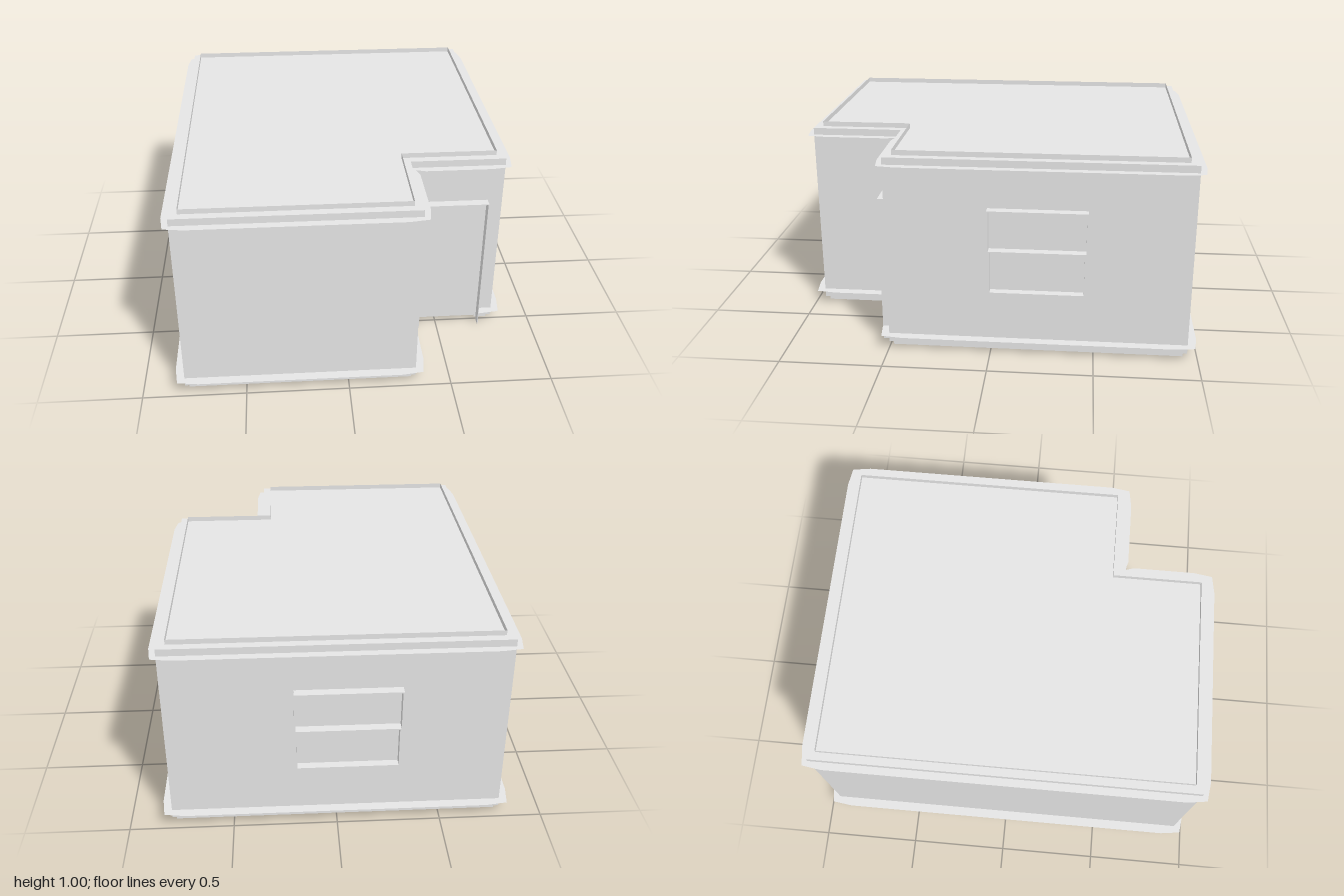
import * as THREE from 'three';

const plaster = new THREE.MeshStandardMaterial({ color: 0xe5e5e5 });
plaster.name = 'plaster';
const sheet = new THREE.MeshStandardMaterial({ color: 0xe5e5e5, side: THREE.DoubleSide });
sheet.name = 'plaster sheet';

// L-shaped footprint as [x, z], walked so each wall faces outward
const plan = [[-0.798, 0.953], [0.33, 0.953], [0.33, 0.502], [0.798, 0.502], [0.798, -0.951], [-0.798, -0.951]];
const turn = [1, 1, -1, 1, 1, 1]; // 1 = outer corner, -1 = inner corner
const FLOOR = 0.025, ROOF = 0.975;

function add(group, name, geometry, material = plaster) {
  const mesh = new THREE.Mesh(geometry, material);
  mesh.name = name;
  group.add(mesh);
}

function polygon(points) {
  return new THREE.Shape(points.map(([x, y]) => new THREE.Vector2(x, y)));
}

// Flat ledge lying on the wall: points are [along, outward]
function ledge(group, name, points, y) {
  const g = new THREE.ShapeGeometry(polygon(points.map(([s, e]) => [s, -e])));
  g.rotateX(-Math.PI / 2).translate(0, y, 0);
  add(group, name, g, sheet);
}

// Upright strip set in from the wall line
function strip(group, name, s0, s1, y0, y1, inset) {
  const g = new THREE.PlaneGeometry(s1 - s0, y1 - y0);
  g.translate((s0 + s1) / 2, (y0 + y1) / 2, -inset);
  add(group, name, g, sheet);
}

// Thin raised frame around an opening
function frame(group, name, s0, s1, y0, y1, depth, t) {
  const shape = polygon([[s0, y0], [s1, y0], [s1, y1], [s0, y1]]);
  shape.holes.push(polygon([[s0 + t, y0 + t], [s0 + t, y1 - t], [s1 - t, y1 - t], [s1 - t, y0 + t]]));
  add(group, name, new THREE.ExtrudeGeometry(shape, { depth, bevelEnabled: false }));
}

function sashWindow(group, s0, s1) {
  frame(group, 'upperSash', s0 - 0.008, s1 + 0.008, 0.535, 0.742, 0.043, 0.006);
  frame(group, 'lowerSash', s0, s1, 0.325, 0.541, 0.039, 0.004);
}

export function createModel() {
  const model = new THREE.Group();
  model.name = 'room';

  // Walls, floor and flat roof in one block
  const body = new THREE.ExtrudeGeometry(polygon(plan.map(([x, z]) => [x, -z])),
    { depth: ROOF - FLOOR, bevelEnabled: false });
  body.rotateX(-Math.PI / 2).translate(0, FLOOR, 0);
  add(model, 'walls', body);

  const names = ['frontWall', 'porchSideWall', 'doorWall', 'rightWall', 'backWall', 'leftWall'];
  const [doorA, doorB] = [0.074, 0.395];
  const baseOut = 0.047, crownOut = 0.038, rimInset = 0.04, skirtInset = 0.018;

  plan.forEach(([x, z], i) => {
    const j = (i + 1) % plan.length;
    const dx = plan[j][0] - x, dz = plan[j][1] - z;
    const L = Math.hypot(dx, dz);
    const k0 = turn[i], k1 = turn[j];

    // Local frame: x along the wall, y up, z outward
    const wall = new THREE.Group();
    wall.name = names[i] + 'Trim';
    wall.position.set(x, 0, z);
    wall.rotation.y = Math.atan2(-dz, dx);
    model.add(wall);

    // Ledge ends taper slightly toward the corners
    const start = (d) => [[-k0 * (d - 0.014), d - 0.014], [0.07, d]];
    const end = (d) => [[L - 0.07, d], [L + k1 * (d - 0.014), d - 0.014]];
    ledge(wall, 'crownLedge', [[0, 0], ...start(crownOut), ...end(crownOut), [L, 0]], 0.94);

    // Low rim on the roof
    strip(wall, 'roofRim', k0 * rimInset, L - k1 * rimInset, ROOF, 1, rimInset);

    // Baseboard ledge and the skirt under the floor, broken by the door
    const s0 = k0 * skirtInset, s1 = L - k1 * skirtInset;
    if (i === 2) {
      ledge(wall, 'baseLedge', [[0, 0], ...start(baseOut), [doorA, baseOut], [doorA, 0]], 0.07);
      ledge(wall, 'baseLedge', [[doorB, 0], [doorB, baseOut], ...end(baseOut), [L, 0]], 0.07);
      strip(wall, 'skirt', s0, doorA + 0.01, 0, FLOOR, skirtInset);
      strip(wall, 'skirt', doorB - 0.01, s1, 0, FLOOR, skirtInset);

      // Door surround, open at the foot
      const t = 0.004;
      const shape = polygon([[doorA, 0], [doorA + t, 0], [doorA + t, 0.741], [doorB - t, 0.741],
        [doorB - t, 0], [doorB, 0], [doorB, 0.745], [doorA, 0.745]]);
      add(wall, 'doorFrame', new THREE.ExtrudeGeometry(shape, { depth: 0.046, bevelEnabled: false }));
    } else {
      ledge(wall, 'baseLedge', [[0, 0], ...start(baseOut), ...end(baseOut), [L, 0]], 0.07);
      strip(wall, 'skirt', s0, s1, 0, FLOOR, skirtInset);
    }

    if (i === 3) sashWindow(wall, 0.497, 0.952);
    if (i === 4) sashWindow(wall, 0.606, 1.09);
  });

  return model;
}
